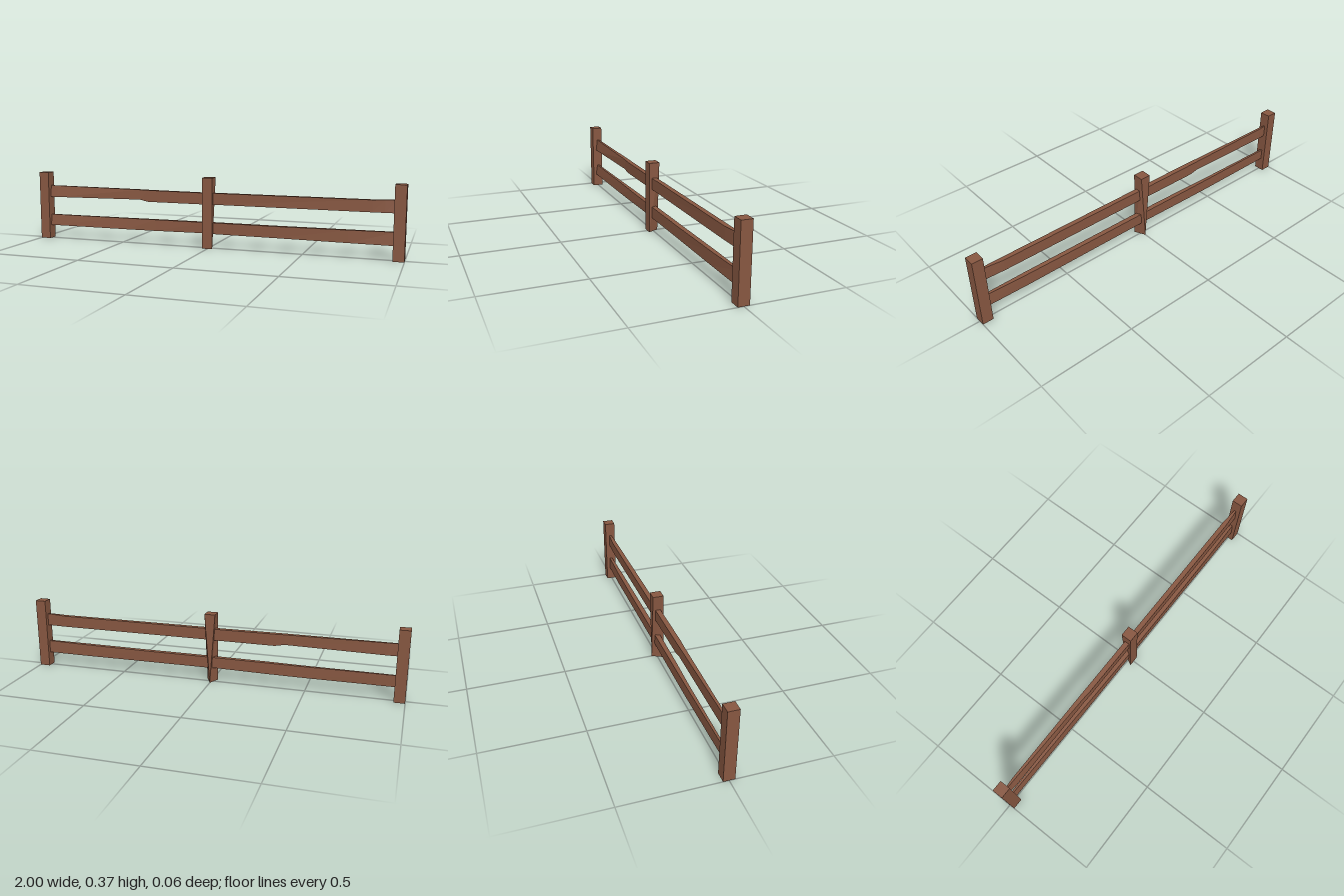
import * as THREE from 'three';

const wood = new THREE.MeshStandardMaterial({ color: 0x875741, flatShading: true });
wood.name = 'brown wood';

const POST = 0.056, HEIGHT = 0.373;

// Reshape a box by a rule on each vertex, then rebuild flat normals
function reshape(geometry, rule) {
  const p = geometry.attributes.position;
  for (let i = 0; i < p.count; i++) p.setXYZ(i, ...rule(p.getX(i), p.getY(i), p.getZ(i)));
  const flat = geometry.toNonIndexed();
  flat.computeVertexNormals();
  return flat;
}

function addMesh(group, name, geometry) {
  const mesh = new THREE.Mesh(geometry, wood);
  mesh.name = name;
  group.add(mesh);
  return mesh;
}

// Hewn rail from sections [x, bottomY, topY, bottomBackZ, bottomFrontZ, topBackZ, topFrontZ]
function railGeometry(sections) {
  const n = sections.length - 1;
  return reshape(new THREE.BoxGeometry(1, 1, 1, n, 1, 1), (x, y, z) => {
    const s = sections[Math.round((x + 0.5) * n)];
    const zs = y > 0 ? [s[5], s[6]] : [s[3], s[4]];
    return [s[0], y > 0 ? s[2] : s[1], zs[z > 0 ? 1 : 0]];
  });
}

export function createModel() {
  const fence = new THREE.Group();
  fence.name = 'fence';

  // Square end posts
  for (const [name, side] of [['leftPost', 1], ['rightPost', -1]]) {
    const post = addMesh(fence, name, new THREE.BoxGeometry(POST, HEIGHT, POST));
    post.position.set(side * (1 - POST / 2), HEIGHT / 2, 0);
  }

  // Middle post, its back face tapering to a point at the ground
  addMesh(fence, 'middlePost', reshape(new THREE.BoxGeometry(POST, HEIGHT, POST), (x, y, z) =>
    [y < 0 && z < 0 ? 0 : x, y + HEIGHT / 2, z]));

  // Upper rails, the right one with a chipped underside
  addMesh(fence, 'upperRightRail', railGeometry([
    [-0.955, 0.234, 0.298, -0.007, 0.008, -0.007, 0.0],
    [-0.90, 0.235, 0.298, -0.012, 0.013, -0.011, 0.001],
    [-0.39, 0.242, 0.295, -0.013, 0.013, -0.013, 0.010],
    [-0.34, 0.232, 0.294, -0.013, 0.013, -0.013, 0.013],
    [0.0, 0.232, 0.292, -0.013, 0.013, -0.013, 0.013],
  ]));
  addMesh(fence, 'upperLeftRail', railGeometry([
    [0.0, 0.233, 0.293, -0.013, 0.013, -0.013, 0.013],
    [0.84, 0.233, 0.293, -0.013, 0.013, -0.013, 0.011],
    [0.90, 0.233, 0.296, -0.010, 0.012, -0.009, 0.008],
    [0.955, 0.233, 0.297, -0.007, 0.010, -0.005, 0.004],
  ]));

  // Lower rails
  addMesh(fence, 'lowerRightRail', railGeometry([
    [-0.955, 0.074, 0.134, -0.008, 0.012, -0.008, 0.002],
    [-0.47, 0.075, 0.135, -0.013, 0.013, -0.012, 0.006],
    [-0.30, 0.076, 0.136, -0.013, 0.013, -0.013, 0.010],
    [0.0, 0.080, 0.137, -0.013, 0.013, -0.013, 0.013],
  ]));
  addMesh(fence, 'lowerLeftRail', railGeometry([
    [0.0, 0.078, 0.137, -0.013, 0.013, -0.013, 0.013],
    [0.37, 0.077, 0.137, -0.013, 0.013, -0.013, 0.013],
    [0.73, 0.075, 0.139, -0.013, 0.013, -0.012, 0.011],
    [0.955, 0.074, 0.141, -0.009, 0.012, -0.007, 0.006],
  ]));

  return fence;
}
